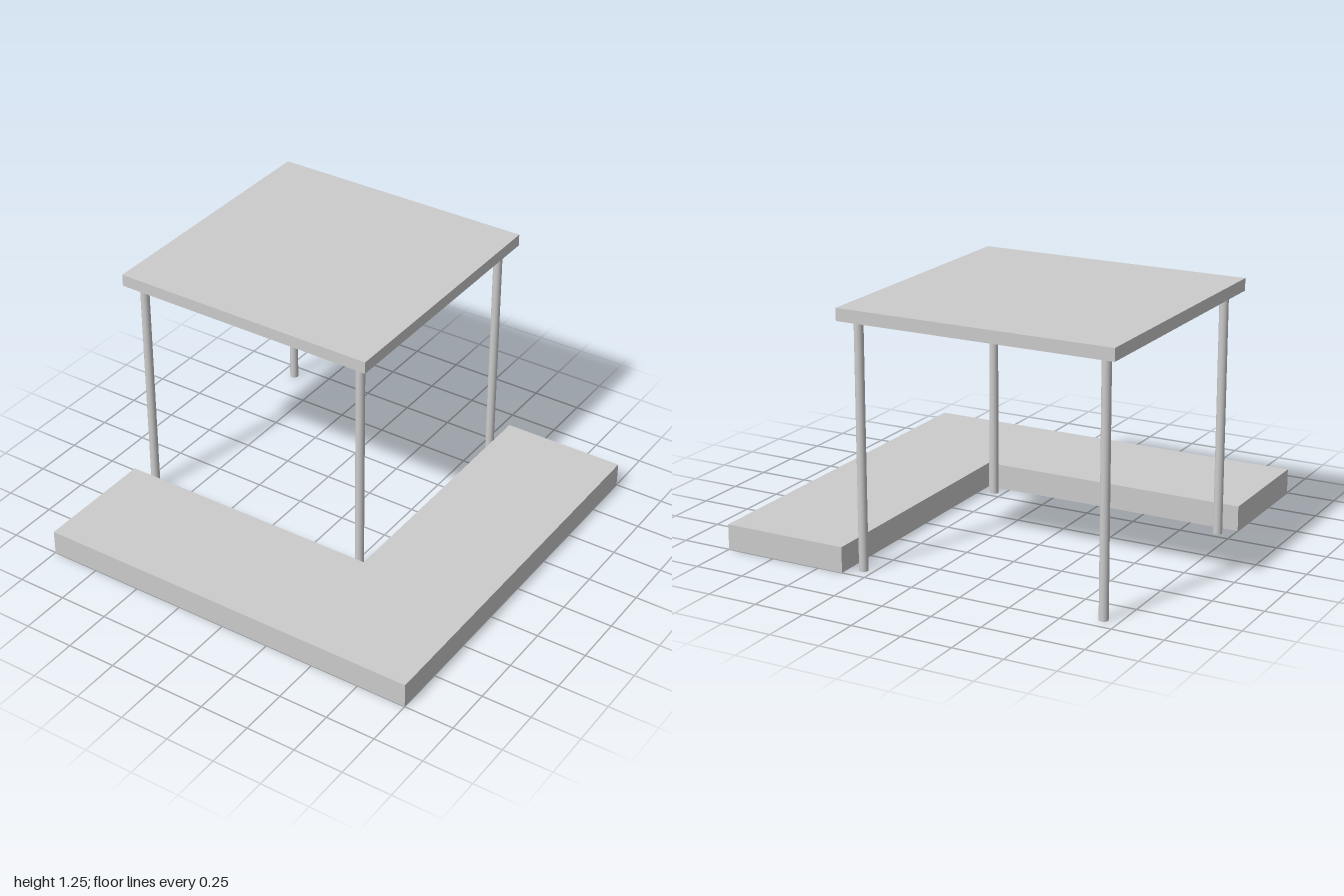
import * as THREE from 'three';

const material = new THREE.MeshStandardMaterial({ color: 0xcccccc });

function addPart(group, name, geometry, x, y, z) {
  const mesh = new THREE.Mesh(geometry, material);
  mesh.name = name;
  mesh.position.set(x, y, z);
  group.add(mesh);
}

export function createModel() {
  const model = new THREE.Group();
  model.name = 'tableWithCornerBench';

  const inner = 0.37; // inside corner of the bench, also the table edge
  const benchHeight = 0.125;
  const topY = 1.25;
  const topThickness = 0.06;

  // L-shaped bench, drawn in plan (shape y becomes -z) and extruded upward
  const plan = new THREE.Shape([
    [-1, -1], [1, -1], [1, 1], [inner, 1], [inner, -inner], [-1, -inner],
  ].map(([x, y]) => new THREE.Vector2(x, y)));
  const bench = new THREE.ExtrudeGeometry(plan, { depth: benchHeight, bevelEnabled: false });
  bench.rotateX(-Math.PI / 2);
  addPart(model, 'cornerBench', bench, 0, 0, 0);

  // Square table top set into the corner
  const size = 1 + inner;
  const centre = (inner - 1) / 2;
  addPart(model, 'tableTop', new THREE.BoxGeometry(size, topThickness, size),
    centre, topY - topThickness / 2, centre);

  // Four slim round legs down to the floor
  const legHeight = topY - topThickness;
  const leg = new THREE.CylinderGeometry(0.022, 0.022, legHeight, 24);
  for (const x of [-0.926, 0.3]) {
    for (const z of [-0.924, 0.3]) {
      addPart(model, 'tableLeg', leg, x, legHeight / 2, z);
    }
  }
  return model;
}
